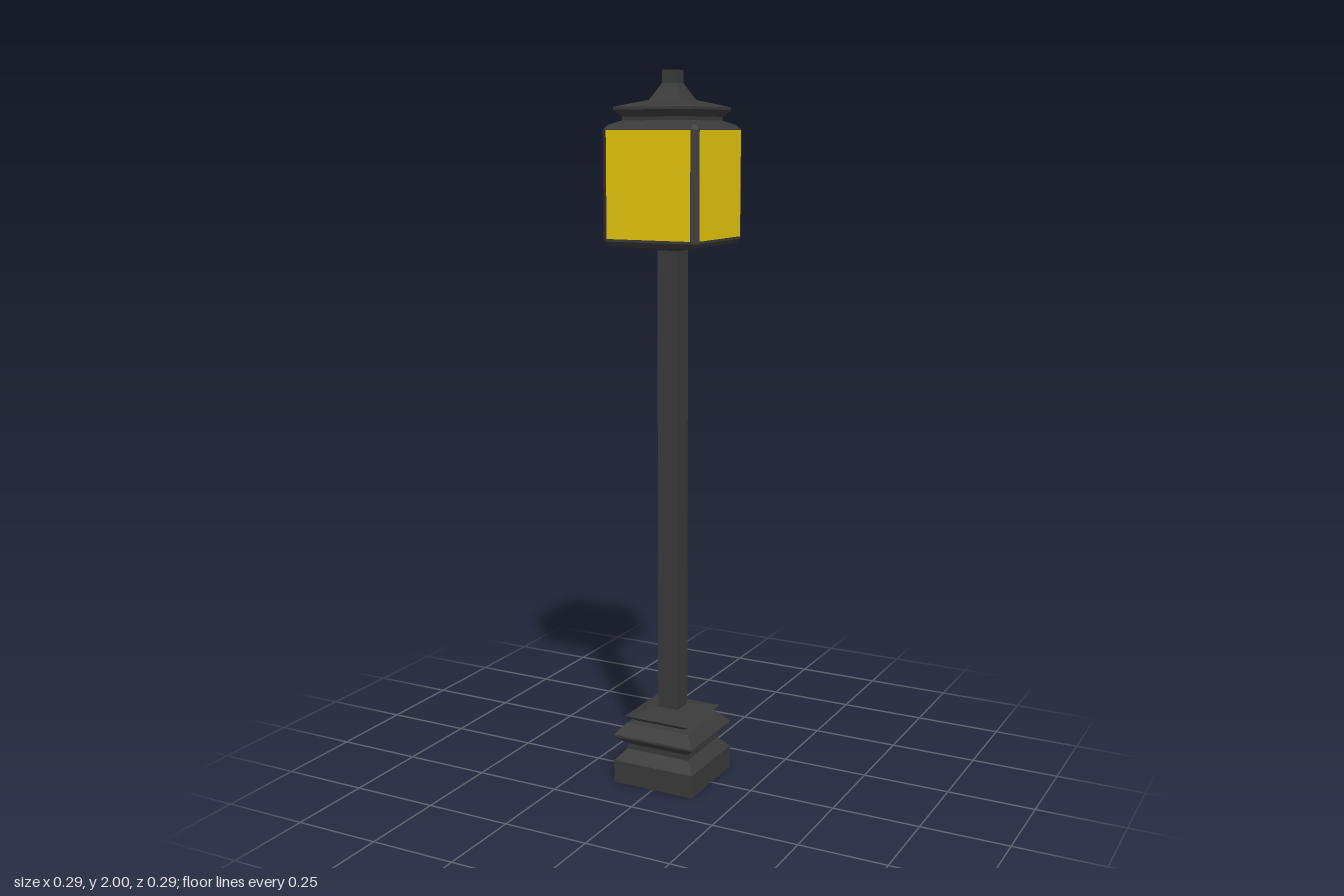
import * as THREE from 'three';

const iron = new THREE.MeshStandardMaterial({ color: 0x3a3a3a, flatShading: true });
const amber = new THREE.MeshStandardMaterial({ color: 0xe6c60c, flatShading: true });

// Square turning: profile of [half width, height] pairs, listed bottom to top
function squareTurning(name, profile) {
  const points = profile.map(([half, y]) => new THREE.Vector2(half * Math.SQRT2, y));
  const mesh = new THREE.Mesh(new THREE.LatheGeometry(points, 4, Math.PI / 4), iron);
  mesh.name = name;
  return mesh;
}

// Square outline with cut corners
function cutSquare(half, cut) {
  const c = half - cut;
  return new THREE.Shape([
    [half, -c], [half, c], [c, half], [-c, half],
    [-half, c], [-half, -c], [-c, -half], [c, -half],
  ].map(([x, y]) => new THREE.Vector2(x, y)));
}

export function createModel() {
  const group = new THREE.Group();
  group.name = 'streetLamp';

  // Stepped foot
  group.add(squareTurning('base', [
    [0, 0], [0.125, 0], [0.125, 0.066], [0.097, 0.097], [0.097, 0.113],
    [0.125, 0.138], [0.125, 0.144], [0.098, 0.175], [0.075, 0.178],
    [0.102, 0.196], [0.032, 0.213], [0, 0.213],
  ]));

  // Square post
  const post = new THREE.Mesh(new THREE.BoxGeometry(0.062, 1.34, 0.062), iron);
  post.name = 'post';
  post.position.y = 0.87;
  group.add(post);

  // Tapered tray beneath the lantern
  group.add(squareTurning('lanternTray', [
    [0, 1.523], [0.035, 1.523], [0.125, 1.538], [0, 1.538],
  ]));

  // Lantern body with bevelled edges
  const bevel = 0.012;
  const bodyGeometry = new THREE.ExtrudeGeometry(cutSquare(0.143 - bevel, 0.008), {
    depth: 0.294, bevelEnabled: true, bevelSegments: 1, bevelSize: bevel, bevelThickness: bevel,
  });
  bodyGeometry.rotateX(-Math.PI / 2);
  const body = new THREE.Mesh(bodyGeometry, iron);
  body.name = 'lanternFrame';
  body.position.y = 1.55;
  group.add(body);

  // Glass pane on each side
  for (let i = 0; i < 4; i++) {
    const pane = new THREE.Mesh(new THREE.BoxGeometry(0.25, 0.286, 0.004), amber);
    pane.name = 'glassPane';
    pane.position.set(0, 1.7, 0.1415);
    const side = new THREE.Group();
    side.name = 'lanternSide';
    side.rotation.y = i * Math.PI / 2;
    side.add(pane);
    group.add(side);
  }

  // Stepped roof and finial
  group.add(squareTurning('roof', [
    [0, 1.855], [0.128, 1.856], [0.1, 1.868], [0.1, 1.878],
    [0.117, 1.896], [0.117, 1.903], [0.1, 1.908], [0.047, 1.922],
    [0.021, 1.966], [0.021, 2], [0, 2],
  ]));

  return group;
}
